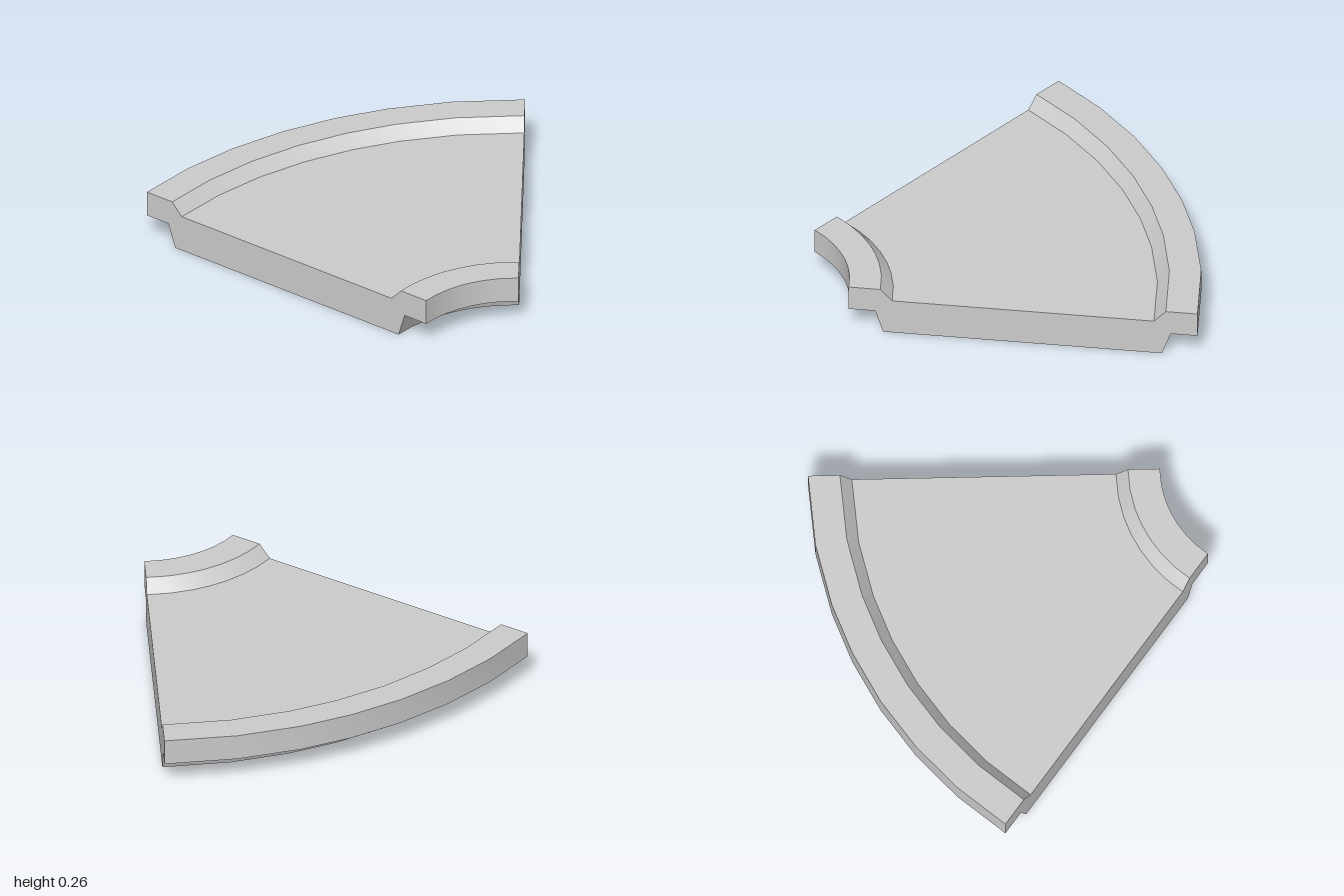
import * as THREE from 'three';

// Pivot of the bend, and the angles (degrees) of its cross-sections
const CX = 1.335, CZ = 0.94;
const ANGLES = [0, 7.6, 15, 22.4, 29.6, 36.4, 44.5, 53.62].map(THREE.MathUtils.degToRad);

// Cross-section, counter-clockwise seen from the front: x, y, name of the surface to the next point
const PROFILE = [
  [-0.82, 0, 'underside'],
  [0.59, 0, 'innerFoot'],
  [0.63, 0.125, 'innerLipUnderside'],
  [0.765, 0.125, 'innerWall'],
  [0.765, 0.26, 'innerRimTop'],
  [0.605, 0.26, 'innerRamp'],
  [0.545, 0.195, 'floor'],
  [-0.78, 0.195, 'outerRamp'],
  [-0.84, 0.26, 'outerRimTop'],
  [-1, 0.26, 'outerWall'],
  [-1, 0.125, 'outerLipUnderside'],
  [-0.865, 0.125, 'outerFoot'],
];

// One smooth strip: an edge of the cross-section swept round the pivot
function sweptStrip(a, b) {
  const positions = [], index = [];
  ANGLES.forEach((t, k) => {
    for (const [x, y] of [a, b]) {
      const r = CX - x;
      positions.push(CX - r * Math.cos(t), y, CZ - r * Math.sin(t));
    }
    if (k > 0) {
      const n = 2 * (k - 1);
      index.push(n, n + 2, n + 1, n + 1, n + 2, n + 3);
    }
  });
  const geometry = new THREE.BufferGeometry();
  geometry.setAttribute('position', new THREE.Float32BufferAttribute(positions, 3));
  geometry.setIndex(index);
  geometry.computeVertexNormals();
  return geometry;
}

// Flat end face, turned round the pivot
function endFace(angle, flip) {
  const shape = new THREE.Shape(PROFILE.map(([x, y]) => new THREE.Vector2(x, y)));
  const geometry = new THREE.ShapeGeometry(shape);
  geometry.translate(-CX, 0, 0).rotateY(-angle).translate(CX, 0, CZ);
  if (flip) geometry.setIndex(Array.from(geometry.index.array).reverse());
  geometry.computeVertexNormals();
  return geometry;
}

export function createModel() {
  const group = new THREE.Group();
  group.name = 'curvedTrackSection';
  const material = new THREE.MeshStandardMaterial({ color: 0xcccccc });
  const add = (name, geometry) => {
    const mesh = new THREE.Mesh(geometry, material);
    mesh.name = name;
    group.add(mesh);
  };

  // Floor, rims, walls and underside
  PROFILE.forEach((p, i) => add(p[2], sweptStrip(p, PROFILE[(i + 1) % PROFILE.length])));

  // Ends
  add('frontEnd', endFace(0, false));
  add('backEnd', endFace(ANGLES[ANGLES.length - 1], true));
  return group;
}
